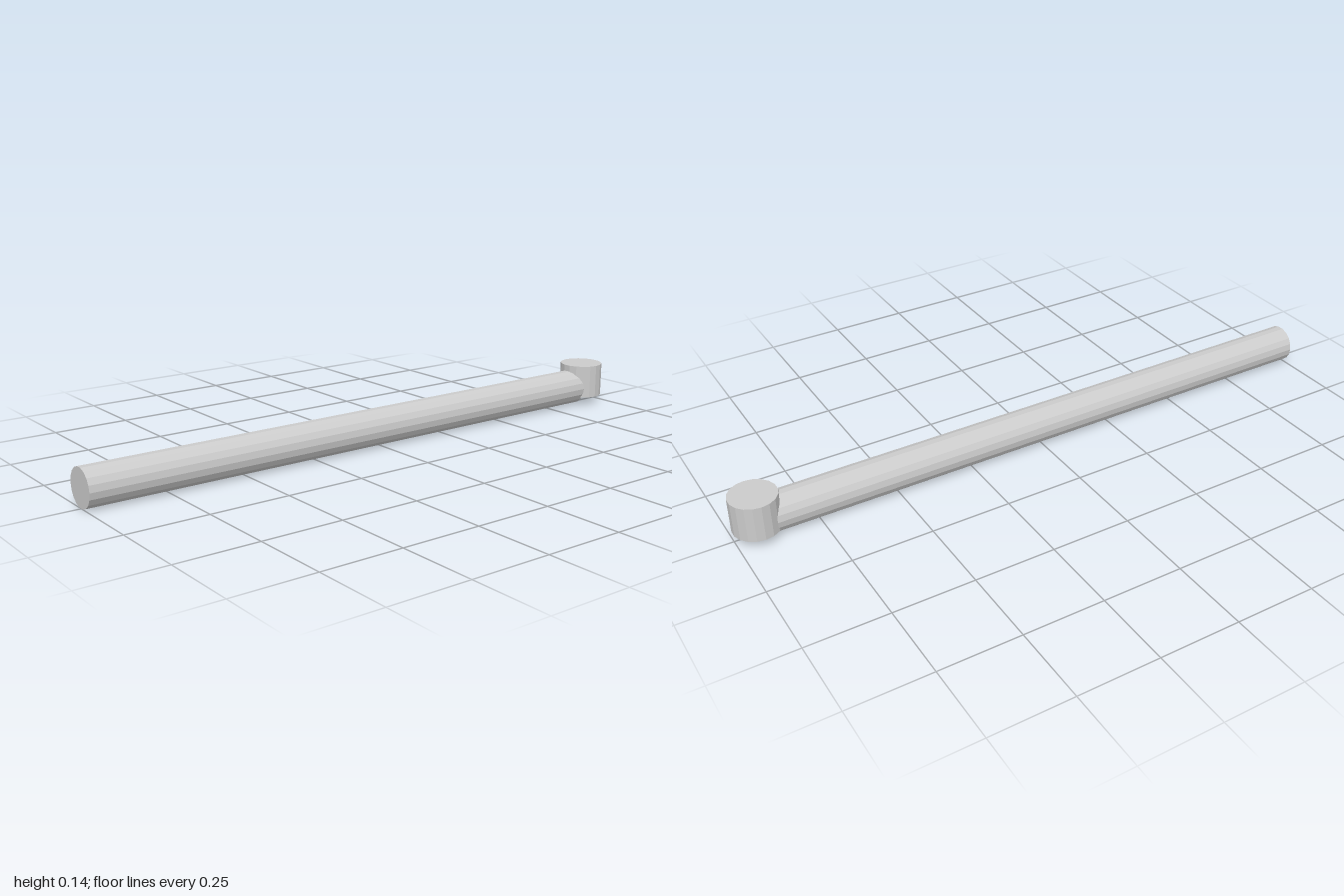
import * as THREE from 'three';

const SIDES = 18;

export function createModel() {
  const group = new THREE.Group();
  const material = new THREE.MeshStandardMaterial({ color: 0xcccccc, flatShading: true });

  // Faceted rod with a corner on the +x axis
  const rod = (name, radius, length) => {
    const geometry = new THREE.CylinderGeometry(radius, radius, length, SIDES);
    geometry.rotateY(Math.PI / 2);
    const mesh = new THREE.Mesh(geometry, material);
    mesh.name = name;
    group.add(mesh);
    return mesh;
  };

  // Long handle lying along z, its back end buried in the head
  const front = 1, back = -0.885, handleRadius = 0.0595;
  const handle = rod('handle', handleRadius, front - back);
  handle.geometry.rotateX(Math.PI / 2);
  handle.position.set(0, 0.059, (front + back) / 2);

  // Short upright head at the back
  const headRadius = 0.0725, bottom = 0.027, top = 0.139;
  const head = rod('head', headRadius, top - bottom);
  head.position.set(0, (bottom + top) / 2, -1 + headRadius * Math.cos(Math.PI / SIDES));

  return group;
}
